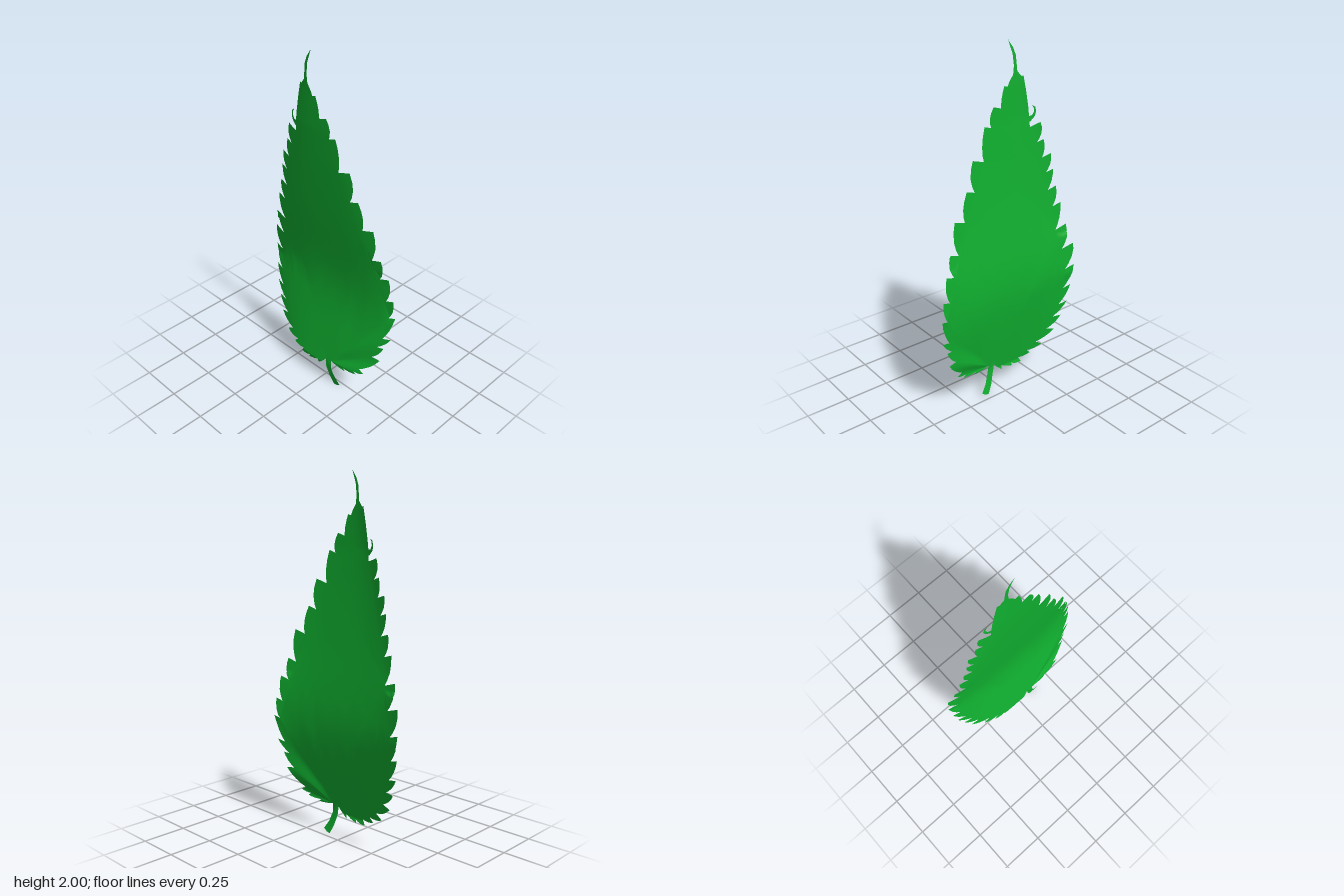
import * as THREE from 'three';
import { mergeVertices } from 'three/addons/utils/BufferGeometryUtils.js';

// Linear interpolation through [key, value] pairs
function along(table, t) {
  for (let i = 1; i < table.length; i++) {
    const [a, va] = table[i - 1], [b, vb] = table[i];
    if (t <= b) return va + (vb - va) * Math.max(0, (t - a) / (b - a));
  }
  return table[table.length - 1][1];
}

// Bend of the leaf along its length, and its half width
const BEND = [[0, 0.035], [0.14, 0.057], [0.3, 0.028], [0.45, 0.002], [0.65, -0.026], [0.85, -0.014],
  [1, 0.003], [1.2, 0.02], [1.4, 0.034], [1.6, 0.044], [2, 0.05]];
const HALF = [[0, 0.3], [0.2, 0.33], [0.6, 0.46], [1, 0.4], [1.4, 0.28], [1.8, 0.18], [2, 0.18]];

// Depth of the surface: lengthwise bend, drooping margins, fine folds at the lower right
function depthAt(x, y) {
  const s = Math.min(1.1, Math.abs(x) / along(HALF, y));
  const droop = (y < 0.9 ? 0.026 : 0.02) * s ** 3;
  const dx = x - 0.06, dy = y - 0.18;
  const r = Math.hypot(dx, dy), angle = Math.atan2(dy, dx);
  const inFold = angle > 0 && angle < 1.25 && r < 0.5;
  const fold = inFold ? 0.006 * Math.sin(angle / 1.25 * Math.PI * 4) * Math.sin(r / 0.5 * Math.PI) : 0;
  return along(BEND, y) - droop + fold;
}

// Tooth rows, top to bottom: tip x, tip y, tooth depth
const LEFT = [
  [-0.145, 1.815, 0.02], [-0.25, 1.56, 0.065], [-0.27, 1.465, 0.04], [-0.315, 1.38, 0.055],
  [-0.33, 1.29, 0.045], [-0.35, 1.19, 0.055], [-0.38, 1.09, 0.055], [-0.415, 0.955, 0.075],
  [-0.455, 0.835, 0.08], [-0.46, 0.7, 0.06], [-0.45, 0.57, 0.05], [-0.435, 0.46, 0.055],
  [-0.405, 0.37, 0.055], [-0.37, 0.28, 0.055], [-0.295, 0.195, 0.05], [-0.22, 0.155, 0.035],
  [-0.155, 0.12, 0.035], [-0.09, 0.115, 0.02], [-0.015, 0.12, 0.025]];
const RIGHT = [
  [-0.03, 1.775, 0.02], [0.04, 1.68, 0.05], [0.1, 1.59, 0.045], [0.185, 1.435, 0.075],
  [0.235, 1.285, 0.055], [0.325, 1.15, 0.07], [0.37, 0.985, 0.06], [0.41, 0.88, 0.055],
  [0.44, 0.75, 0.045], [0.455, 0.645, 0.04], [0.445, 0.505, 0.05], [0.41, 0.43, 0.04],
  [0.395, 0.34, 0.05], [0.315, 0.22, 0.035], [0.27, 0.19, 0.025], [0.19, 0.17, 0.02]];

// Turns a row of teeth into a serrated margin: notch, tip, rounded belly, next notch
function margin(teeth, end) {
  const notches = teeth.map(([x, y, d]) => {
    const dx = -0.05 * y - x;
    const inward = new THREE.Vector2(dx, Math.max(0.38, y - 0.3 * Math.abs(dx)) - y);
    return inward.setLength(d).add(new THREE.Vector2(x, y));
  });
  notches.push(end);
  const points = [];
  teeth.forEach(([x, y, d], i) => {
    const tip = new THREE.Vector2(x, y), next = notches[i + 1];
    const out = tip.clone().sub(notches[i]).setLength(d * 0.3);
    points.push(notches[i], tip);
    for (const [t, k] of [[0.3, 0.75], [0.6, 1], [0.85, 0.6]]) {
      points.push(tip.clone().lerp(next, t).addScaledVector(out, k));
    }
  });
  return points;
}

// Fills an outline, splits its triangles finely and bends it to the leaf surface
function sheet(name, points, levels, material) {
  const flat = new THREE.ShapeGeometry(new THREE.Shape(points)).toNonIndexed();
  const source = flat.attributes.position, positions = [];
  const split = (a, b, c, n) => {
    if (n === 0) {
      for (const p of [a, b, c]) positions.push(p.x, p.y, depthAt(p.x, p.y));
      return;
    }
    const ab = a.clone().lerp(b, 0.5), bc = b.clone().lerp(c, 0.5), ca = c.clone().lerp(a, 0.5);
    split(a, ab, ca, n - 1);
    split(ab, b, bc, n - 1);
    split(ca, bc, c, n - 1);
    split(ab, bc, ca, n - 1);
  };
  for (let i = 0; i < source.count; i += 3) {
    split(...[0, 1, 2].map(k => new THREE.Vector3().fromBufferAttribute(source, i + k)), levels);
  }
  let geometry = new THREE.BufferGeometry();
  geometry.setAttribute('position', new THREE.Float32BufferAttribute(positions, 3));
  geometry = mergeVertices(geometry, 1e-5);
  geometry.computeVertexNormals();
  const mesh = new THREE.Mesh(geometry, material);
  mesh.name = name;
  return mesh;
}

const vectors = list => list.map(([x, y]) => new THREE.Vector2(x, y));

export function createModel() {
  const leafGreen = new THREE.MeshStandardMaterial({ color: 0x10b030, side: THREE.DoubleSide });
  leafGreen.name = 'leaf green';
  const leaf = new THREE.Group();
  leaf.name = 'leaf';

  // Serrated blade
  const left = margin(LEFT, new THREE.Vector2(0.045, 0.18));
  const right = margin(RIGHT, new THREE.Vector2(0.08, 0.185)).reverse();
  leaf.add(sheet('blade', [...left, ...vectors([[0.045, 0.18], [0.08, 0.185]]), ...right], 3, leafGreen));

  // Curved tail at the top
  leaf.add(sheet('tipTail', vectors([[-0.055, 2], [-0.085, 1.96], [-0.102, 1.92], [-0.11, 1.84], [-0.14, 1.805],
    [-0.05, 1.765], [-0.06, 1.79], [-0.085, 1.825], [-0.09, 1.87], [-0.082, 1.93]]), 1, leafGreen));

  // Stalk widening towards its foot
  leaf.add(sheet('stem', vectors([[0.04, 0.2], [0.05, 0.13], [0.07, 0.06], [0.097, 0.005], [0.12, 0.01],
    [0.142, 0.025], [0.11, 0.075], [0.09, 0.13], [0.082, 0.2]]), 1, leafGreen));

  // Small curled tooth on the upper left
  leaf.add(sheet('curledTooth', vectors([[-0.198, 1.656], [-0.217, 1.645], [-0.223, 1.62], [-0.216, 1.595],
    [-0.19, 1.57], [-0.17, 1.58], [-0.18, 1.6], [-0.2, 1.602], [-0.212, 1.622], [-0.208, 1.642]]), 1, leafGreen));

  return leaf;
}
